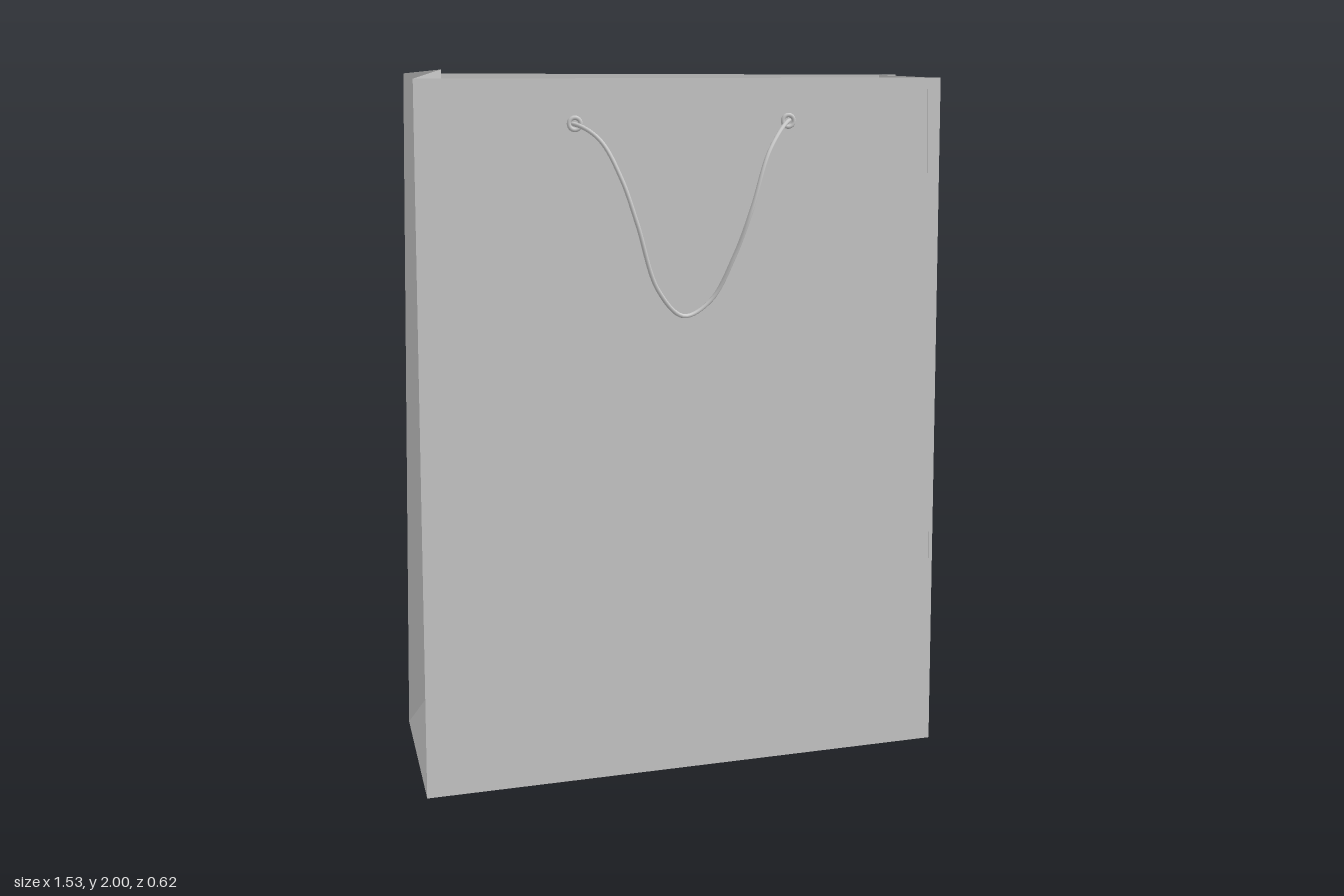
import * as THREE from 'three';

const paper = new THREE.MeshStandardMaterial({ color: 0xcccccc, side: THREE.DoubleSide });
const cord = new THREE.MeshStandardMaterial({ color: 0xcccccc });

// Flat paper sheets: each polygon is a fan of corners, counter-clockwise from outside
function sheet(name, ...polygons) {
  const points = [];
  for (const p of polygons) {
    for (let i = 1; i < p.length - 1; i++) points.push(p[0], p[i], p[i + 1]);
  }
  const geometry = new THREE.BufferGeometry();
  geometry.setAttribute('position', new THREE.Float32BufferAttribute(points.flat(), 3));
  geometry.computeVertexNormals();
  const mesh = new THREE.Mesh(geometry, paper);
  mesh.name = name;
  return mesh;
}

// Side folded inwards along a centre crease, with a triangle at its foot
function gusset(name, s, apex, crease) {
  const polygons = [
    [s.front, s.back, apex],
    [s.front, apex, crease, s.rimFront],
    [apex, s.back, s.rimBack, crease],
  ];
  if (apex[0] < 0) polygons.forEach((p) => p.reverse());
  return sheet(name, ...polygons);
}

function rope(name, path) {
  const curve = new THREE.CatmullRomCurve3(path.map((p) => new THREE.Vector3(...p)));
  const mesh = new THREE.Mesh(new THREE.TubeGeometry(curve, 120, 0.006, 8), cord);
  mesh.name = name;
  return mesh;
}

// Metal ring around a rope hole, tilted with the panel
function eyelet(name, x, z) {
  const mesh = new THREE.Mesh(new THREE.TorusGeometry(0.016, 0.006, 8, 24), cord);
  mesh.position.set(x, 1.86, z);
  mesh.rotation.x = -Math.sign(z) * 0.045;
  mesh.name = name;
  return mesh;
}

export function createModel() {
  const bag = new THREE.Group();
  bag.name = 'paperBag';

  // Corners of the slightly skewed, tapering bag
  const L = {
    front: [-0.768, 0, 0.275], back: [-0.768, 0, -0.262],
    rimFront: [-0.73, 1.98, 0.205], rimBack: [-0.72, 1.987, -0.165],
  };
  const R = {
    front: [0.762, 0, 0.25], back: [0.762, 0, -0.262],
    rimFront: [0.76, 1.975, 0.155], rimBack: [0.755, 1.977, -0.165],
  };

  bag.add(
    sheet('frontPanel', [L.front, R.front, R.rimFront, L.rimFront]),
    sheet('backPanel', [R.back, L.back, L.rimBack, R.rimBack]),
    sheet('bottom', [L.front, L.back, R.back, R.front]),
    gusset('leftGusset', { ...R, rimFront: [0.72, 1.975, 0.156] }, [0.635, 0.31, 0], [0.635, 1.98, 0]),
    gusset('rightGusset', L, [-0.64, 0.31, 0.005], [-0.635, 2, 0.01]),
    // Paper turned over inside the rim
    sheet('rimHem', [R.rimBack, [0.71, 1.9, -0.165], [0.62, 1.9, 0], [0.635, 1.98, 0]]),
  );

  // Front handle hangs a little askew, its ends reaching inside
  bag.add(rope('frontHandle', [
    [-0.37, 1.85, 0.13], [-0.31, 1.86, 0.192], [-0.25, 1.82, 0.255], [-0.2, 1.72, 0.29],
    [-0.16, 1.6, 0.302], [-0.1, 1.42, 0.285], [-0.02, 1.34, 0.26], [0.06, 1.38, 0.25],
    [0.12, 1.5, 0.268], [0.165, 1.63, 0.282], [0.22, 1.78, 0.255], [0.3, 1.86, 0.178],
    [0.335, 1.85, 0.13],
  ]));

  // Back handle is symmetrical
  const half = [
    [0.315, 1.86, -0.155], [0.29, 1.86, -0.19], [0.245, 1.82, -0.25], [0.2, 1.72, -0.295],
    [0.16, 1.61, -0.307], [0.1, 1.44, -0.283],
  ];
  const mirrored = half.map(([x, y, z]) => [-x, y, z]).reverse();
  bag.add(rope('backHandle', [...half, [0, 1.36, -0.263], ...mirrored]));

  bag.add(
    eyelet('frontEyelet', -0.305, 0.196), eyelet('frontEyelet', 0.3, 0.177),
    eyelet('backEyelet', -0.305, -0.171), eyelet('backEyelet', 0.305, -0.171),
  );
  return bag;
}
